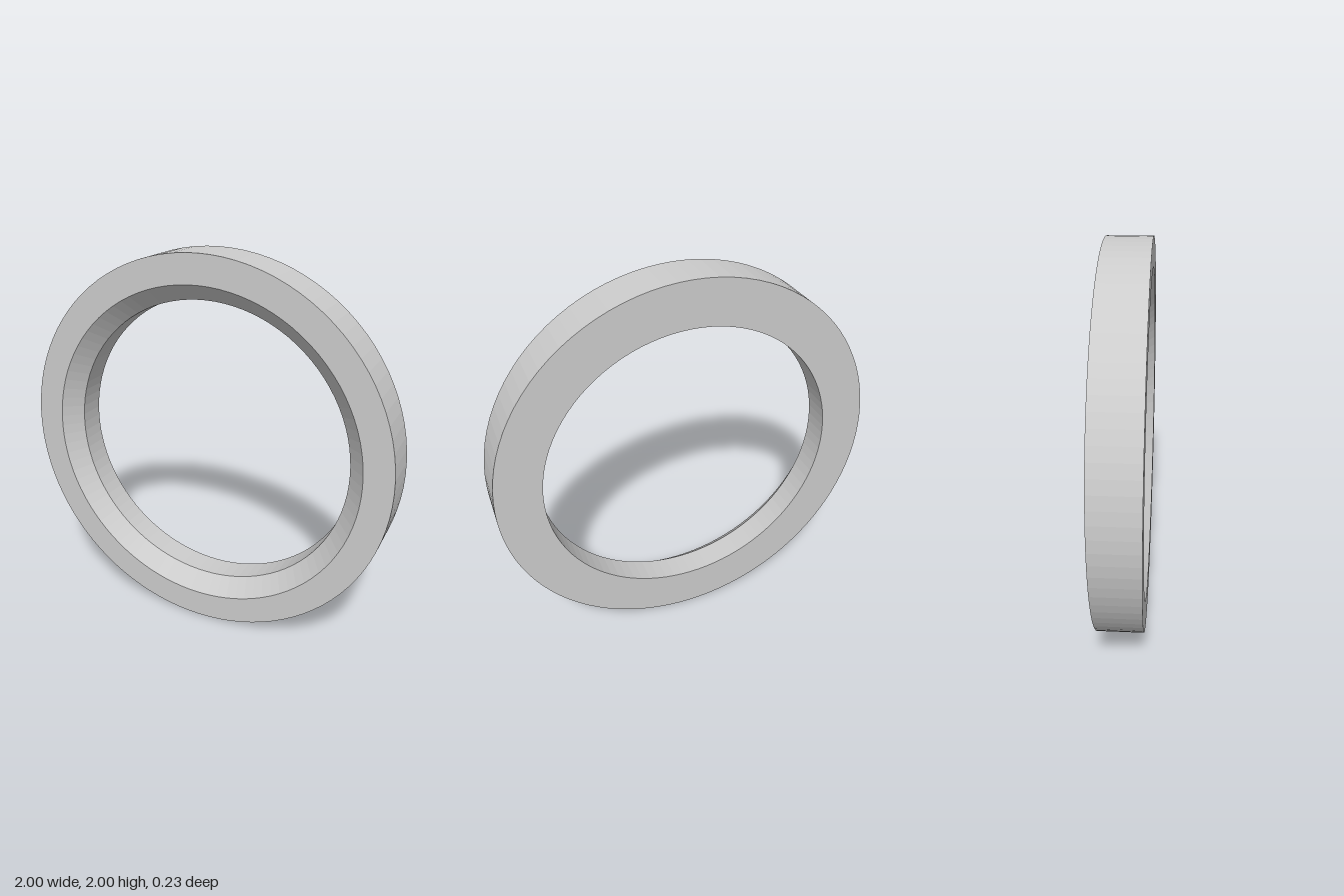
import * as THREE from 'three';

export function createModel() {
  const group = new THREE.Group();
  const outer = 1, lip = 0.853, bore = 0.767, half = 0.115, step = 0.027;

  // Ring cross-section (radius, depth): flat faces, bevel at the front of the bore
  const profile = [
    [outer, -half], [outer, half], [lip, half],
    [bore, step], [bore, -half], [outer, -half],
  ].map(([r, d]) => new THREE.Vector2(r, d));

  // Turn the profile round the z axis
  const geometry = new THREE.LatheGeometry(profile, 96);
  geometry.rotateX(Math.PI / 2);
  const ring = new THREE.Mesh(
    geometry,
    new THREE.MeshStandardMaterial({ color: 0xcccccc, flatShading: true }),
  );
  ring.name = 'bevelledRing';
  ring.position.y = outer;
  group.add(ring);
  return group;
}
